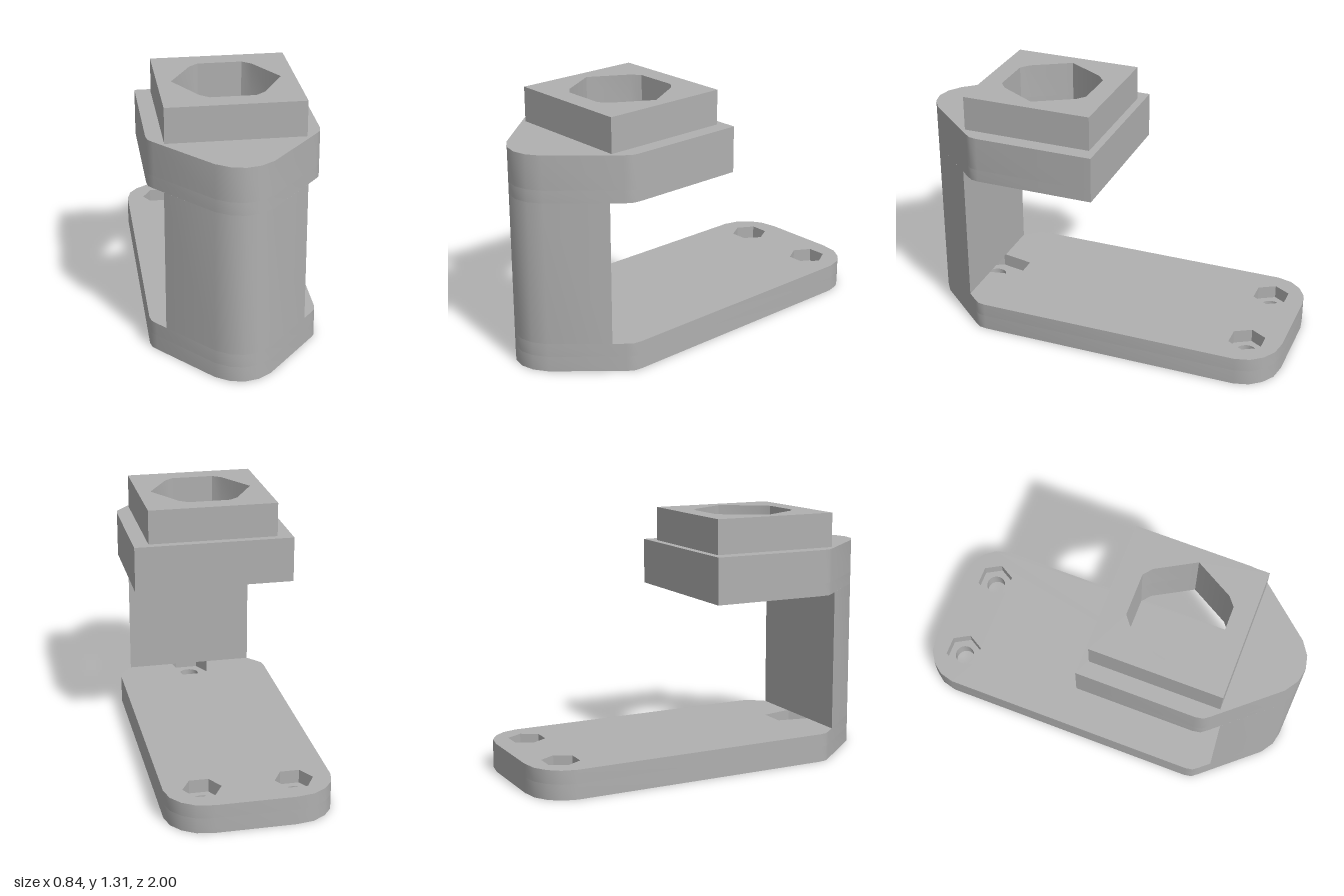
import * as THREE from 'three';
import { toCreasedNormals } from 'three/addons/utils/BufferGeometryUtils.js';

// Mirror half of an outline, listed from the front to the back as [x, z]
const mirrored = (half) => [...half, ...half.slice().reverse().map(([x, z]) => [-x, z])]
  .filter(([x], i) => x !== 0 || i === 0);

const toPoints = (outline) => outline.map(([x, z]) => new THREE.Vector2(x, -z));

const circle = (cx, cz, r, n = 40) => Array.from({ length: n }, (_, i) => {
  const a = (i / n) * Math.PI * 2;
  return [cx + r * Math.cos(a), cz + r * Math.sin(a)];
});

// Upright slab with the given plan outline and holes
function slab(outline, y0, y1, holes = []) {
  const shape = new THREE.Shape(toPoints(outline));
  shape.holes = holes.map((h) => new THREE.Path(toPoints(h)));
  const geo = new THREE.ExtrudeGeometry(shape, { depth: y1 - y0, bevelEnabled: false });
  geo.rotateX(-Math.PI / 2).translate(0, y0, 0);
  return toCreasedNormals(geo, 0.5);
}

export function createModel() {
  const group = new THREE.Group();
  const grey = new THREE.MeshStandardMaterial({ color: 0xb0b0b0 });
  grey.name = 'grey plastic';
  const add = (name, geo) => {
    const mesh = new THREE.Mesh(geo, grey);
    mesh.name = name;
    group.add(mesh);
  };

  // Shared rounded nose, and the plan outlines that use it
  const nose = [[0, 1], [0.07, 0.985], [0.138, 0.94], [0.39, 0.65]];
  const sides = [...nose, [0.413, 0.62], [0.42, 0.58]];
  const basePlan = mirrored([...sides, [0.42, -0.81], [0.4, -0.886], [0.355, -0.944], [0.29, -0.985], [0.2, -1]]);
  const armPlan = mirrored([...sides, [0.42, -0.04]]);
  const columnPlan = mirrored([...nose.slice(0, 3), [0.347, 0.7]]);

  // Base plate: round screw holes below, nut pockets above
  const screws = [[-0.23, -0.82], [0.23, -0.82], [0, 0.71]];
  const pockets = screws.slice(0, 2).map(([x, z]) => circle(x, z, 0.097, 6));
  pockets.push(mirrored([[0.06, 0.8], [0.105, 0.71], [0.07, 0.535]]));
  add('basePlateLower', slab(basePlan, 0, 0.08, screws.map(([x, z]) => circle(x, z, 0.052, 32))));
  add('basePlateUpper', slab(basePlan, 0.08, 0.15, pockets));

  // Column at the front
  add('column', slab(columnPlan, 0.15, 0.89));

  // Arm: round recess underneath, six-sided socket with cut corners above
  const cz = 0.34;
  const socket = mirrored([[0.111, cz + 0.234], [0.157, cz + 0.197], [0.27, cz], [0.157, cz - 0.197], [0.111, cz - 0.234]]);
  add('armLower', slab(armPlan, 0.89, 0.955, [circle(0, cz, 0.3, 64)]));
  add('armUpper', slab(armPlan, 0.955, 1.13, [socket]));

  // Square block on the arm, pierced by the same socket
  add('socketBlock', slab(mirrored([[0.34, 0.68], [0.34, 0]]), 1.13, 1.31, [socket]));

  return group;
}
